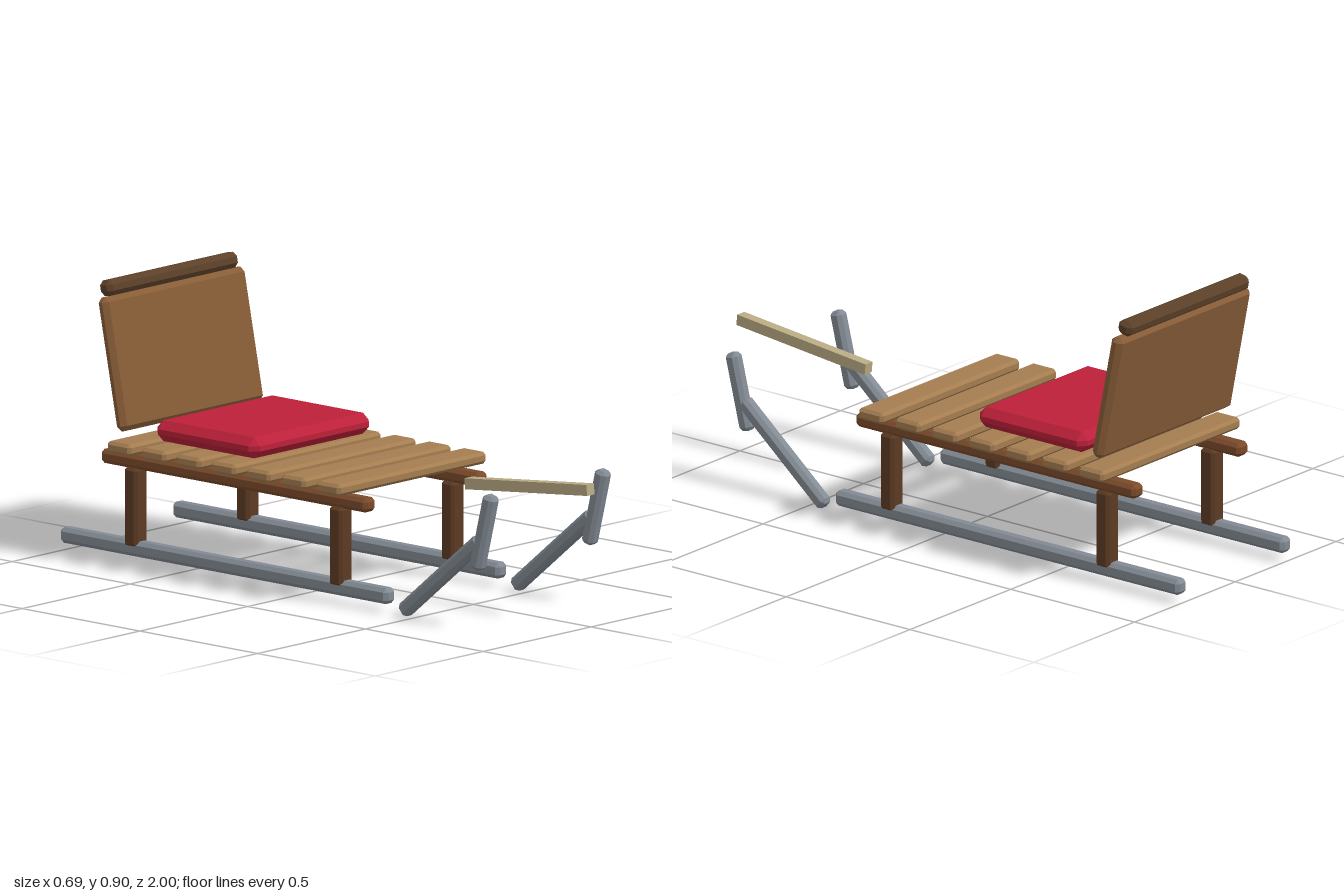
import * as THREE from 'three';
import { ConvexGeometry } from 'three/addons/geometries/ConvexGeometry.js';

const material = (name, color) => {
  const m = new THREE.MeshStandardMaterial({ color });
  m.name = name;
  return m;
};

// Box whose twelve edges are cut by a flat chamfer c.
function chamferBox(w, h, d, c) {
  const pts = [];
  for (const sx of [-1, 1]) for (const sy of [-1, 1]) for (const sz of [-1, 1]) {
    const x = w / 2, y = h / 2, z = d / 2;
    pts.push(
      new THREE.Vector3(sx * x, sy * (y - c), sz * (z - c)),
      new THREE.Vector3(sx * (x - c), sy * y, sz * (z - c)),
      new THREE.Vector3(sx * (x - c), sy * (y - c), sz * z)
    );
  }
  return new ConvexGeometry(pts);
}

export function createModel() {
  const sled = new THREE.Group();
  sled.name = 'sled';

  const steel = material('steel', 0x828a93);
  const slatWood = material('slatWood', 0xa47c50);
  const railWood = material('railWood', 0x7b4a2a);
  const postWood = material('postWood', 0x5c3a22);
  const backWood = material('backWood', 0x875c37);
  const capWood = material('capWood', 0x5c4029);
  const poleWood = material('poleWood', 0xb9aa82);
  const fabric = material('redFabric', 0xbc2039);

  const add = (name, geometry, mat, x, y, z, tilt = 0) => {
    const mesh = new THREE.Mesh(geometry, mat);
    mesh.name = name;
    mesh.position.set(x, y, z);
    mesh.rotation.x = tilt;
    sled.add(mesh);
    return mesh;
  };

  // Square bar in a plane of constant x, between (y, z) points a and b.
  const bar = (name, mat, x, a, b, size, c) => {
    const dy = b[0] - a[0], dz = b[1] - a[1], length = Math.hypot(dy, dz);
    const geometry = c ? chamferBox(size, size, length, c) : new THREE.BoxGeometry(size, size, length);
    return add(name, geometry, mat, x, (a[0] + b[0]) / 2, (a[1] + b[1]) / 2, -Math.atan2(dy, dz));
  };

  // Both sides: runner, posts, seat rail and the bent front irons
  for (const [side, s] of [['left', 1], ['right', -1]]) {
    const x = s * 0.26;
    add(side + 'Runner', chamferBox(0.05, 0.05, 1.39, 0.012), steel, x, 0.053, -0.305);
    add(side + 'Rail', chamferBox(0.055, 0.045, 1.13, 0.012), railWood, x, 0.332, -0.26);
    add(side + 'FrontPost', chamferBox(0.06, 0.255, 0.055, 0.01), postWood, x, 0.185, 0.175);
    add(side + 'BackPost', chamferBox(0.06, 0.255, 0.055, 0.01), postWood, x, 0.185, -0.695);
    bar(side + 'LowerFrontIron', steel, x, [0.012, 0.442], [0.288, 0.773], 0.047, 0.012);
    bar(side + 'UpperFrontIron', steel, x, [0.193, 0.755], [0.437, 0.816], 0.047, 0.012);
  }

  // Seat slats
  for (let i = 0; i < 7; i++) {
    add('slat' + (i + 1), chamferBox(0.69, 0.038, 0.1, 0.01), slatWood, 0, 0.381, 0.195 - i * 0.1483);
  }

  // Cushion
  add('cushion', chamferBox(0.555, 0.067, 0.435, 0.025), fabric, 0, 0.442, -0.392);

  // Leaning backrest with its top cap
  add('backrest', chamferBox(0.66, 0.425, 0.045, 0.016), backWood, 0, 0.641, -0.742, -0.2);
  add('backrestCap', chamferBox(0.606, 0.05, 0.055, 0.015), capWood, 0, 0.874, -0.792, -0.2);

  // Pulling pole
  bar('pullPole', poleWood, 0, [0.388, 0.48], [0.441, 0.998], 0.035, 0);

  return sled;
}
